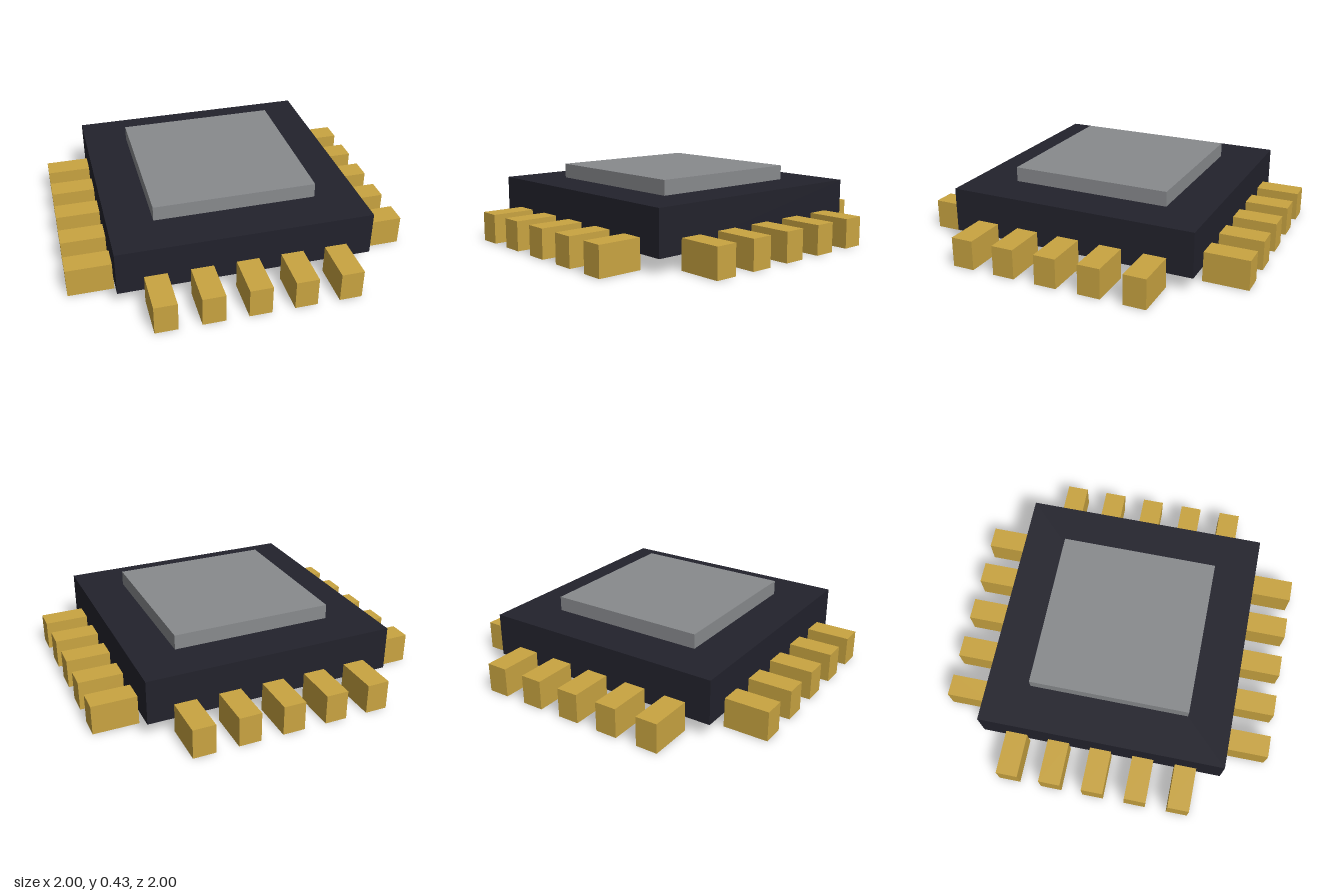
import * as THREE from 'three';

const U = 2 / 23; // base module of the design

function material(name, color) {
  const m = new THREE.MeshStandardMaterial({ color, side: THREE.DoubleSide });
  m.name = name;
  return m;
}

// Box standing on y = 0 with its underside left open
function openBox(w, h, d) {
  const g = new THREE.BoxGeometry(w, h, d).translate(0, h / 2, 0);
  const index = Array.from(g.index.array);
  index.splice(18, 6); // drop the -y face
  g.setIndex(index);
  g.clearGroups();
  return g;
}

export function createModel() {
  const model = new THREE.Group();
  model.name = 'microchip';

  const dark = material('darkPackage', 0x22222c);
  const grey = material('greyMetal', 0x888a8d);
  const gold = material('goldPin', 0xc9a441);

  // Package body, a hollow shell raised above the ground
  const body = new THREE.Mesh(openBox(17 * U, 3 * U, 17 * U), dark);
  body.name = 'body';
  body.position.y = U;
  model.add(body);

  // Heat spreader plate on top
  const plate = new THREE.Mesh(openBox(11 * U, U, 11 * U), grey);
  plate.name = 'heatSpreader';
  plate.position.y = 4 * U;
  model.add(plate);

  // Five pins along each of the four sides; inner ends sit just inside the shell
  const overlap = 0.002;
  const length = 3 * U + overlap;
  const pinGeometry = openBox(1.5 * U, 2 * U, length);
  ['front', 'left', 'back', 'right'].forEach((side, s) => {
    const row = new THREE.Group();
    row.name = side + 'Pins';
    row.rotation.y = s * Math.PI / 2;
    for (let i = -2; i <= 2; i++) {
      const pin = new THREE.Mesh(pinGeometry, gold);
      pin.name = 'pin';
      pin.position.set(i * 3 * U, 0, 1 - length / 2);
      row.add(pin);
    }
    model.add(row);
  });

  return model;
}
